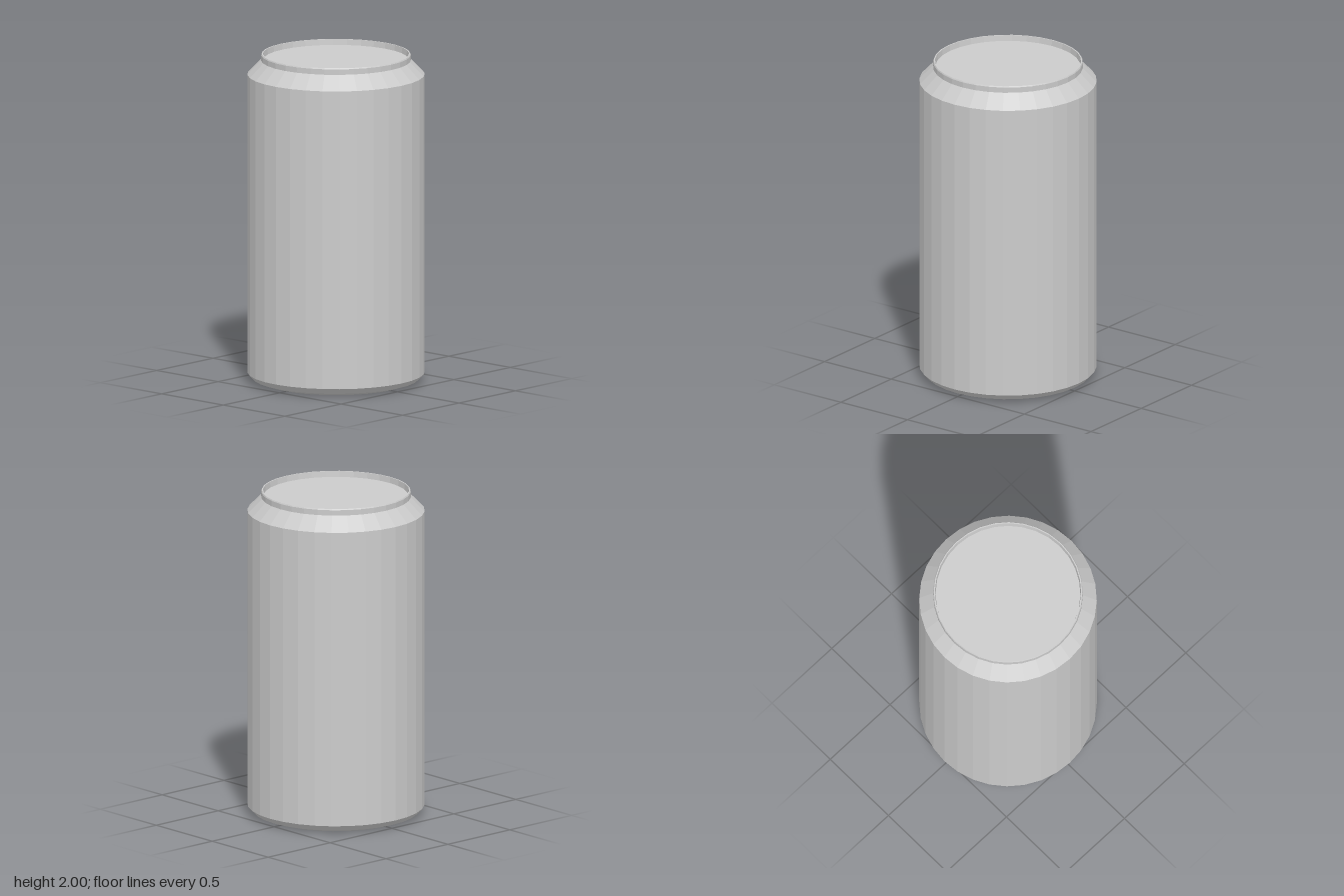
import * as THREE from 'three';

const SIDES = 32;
const material = new THREE.MeshStandardMaterial({ color: 0xcccccc, flatShading: true });

// Revolve a profile of [radius, height] pairs; upward profiles face outwards
function turned(name, profile) {
  const points = profile.map(([r, y]) => new THREE.Vector2(r, y));
  const mesh = new THREE.Mesh(new THREE.LatheGeometry(points, SIDES), material);
  mesh.name = name;
  return mesh;
}

export function createModel() {
  const can = new THREE.Group();
  can.name = 'drinkCan';

  // Recessed underside, standing ring and rounded lower edge
  can.add(turned('base', [[0, 0.035], [0.37, 0.035], [0.44, 0], [0.5, 0.02], [0.532, 0.055]]));

  // Straight wall
  can.add(turned('body', [[0.532, 0.055], [0.532, 1.875]]));

  // Sloping shoulder
  can.add(turned('shoulder', [[0.532, 1.875], [0.449, 1.96]]));

  // Thin raised rim, outside, top and inside
  can.add(turned('rim', [[0.449, 1.96], [0.449, 1.993], [0.445, 2], [0.438, 2], [0.434, 1.965]]));

  // Sunken flat lid
  can.add(turned('lid', [[0.434, 1.965], [0, 1.965]]));

  return can;
}
